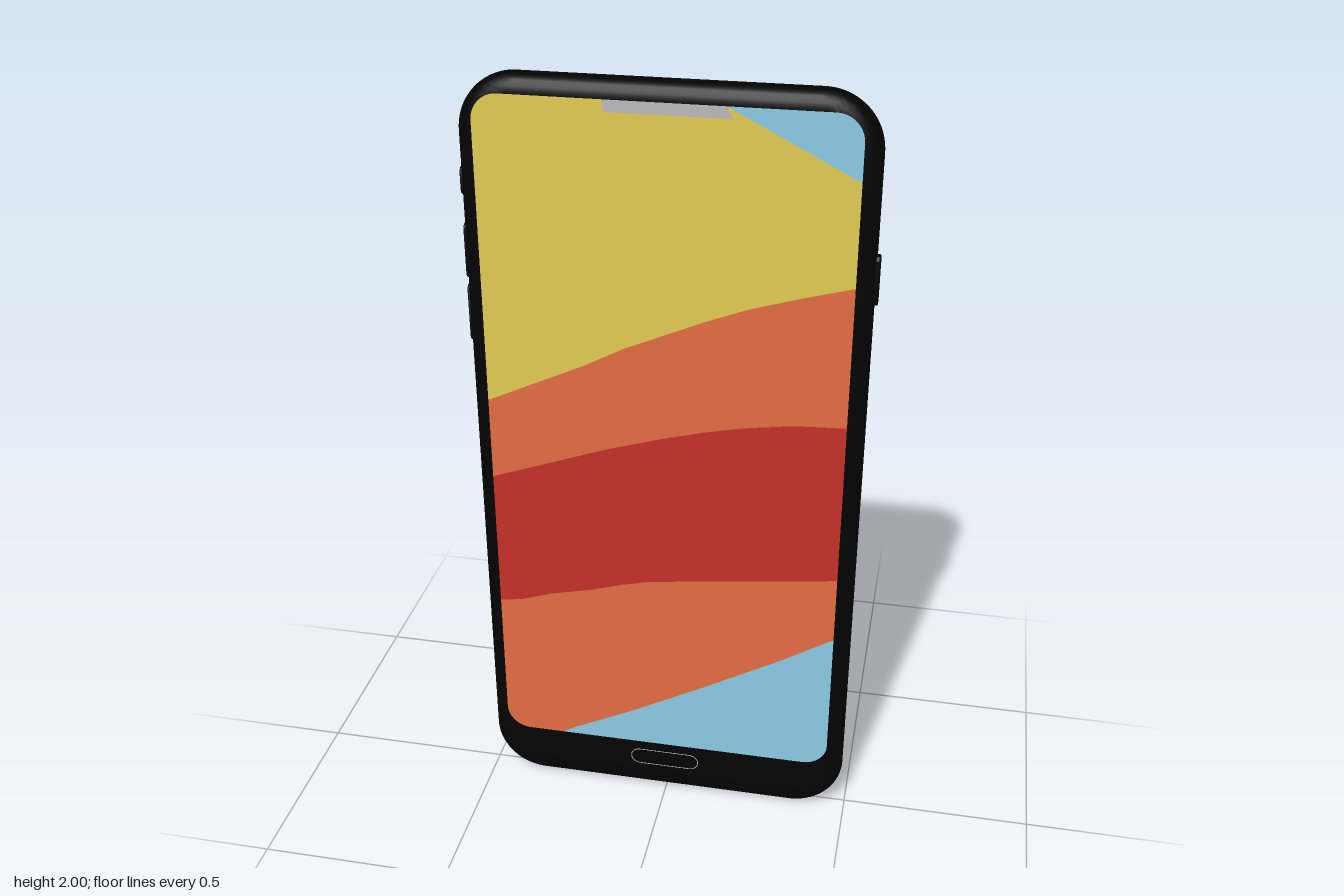
import * as THREE from 'three';
import { toCreasedNormals } from 'three/addons/utils/BufferGeometryUtils.js';

const material = (name, color) => new THREE.MeshStandardMaterial({ name, color });

// Rounded rectangle centred on the origin; r = h / 2 gives a pill
function roundedRect(w, h, r, Type = THREE.Shape) {
  const x = w / 2, y = h / 2, s = new Type();
  s.absarc(x - r, y - r, r, 0, Math.PI / 2);
  s.absarc(-x + r, y - r, r, Math.PI / 2, Math.PI);
  s.absarc(-x + r, -y + r, r, Math.PI, Math.PI * 1.5);
  s.absarc(x - r, -y + r, r, Math.PI * 1.5, Math.PI * 2);
  s.closePath();
  return s;
}

// Rounded slab of outer size w x h x d, with its edges rounded off
function slab(w, h, r, d, bevelSize, bevelThickness, segments) {
  const shape = roundedRect(w - 2 * bevelSize, h - 2 * bevelSize, r - bevelSize);
  const g = new THREE.ExtrudeGeometry(shape, {
    depth: d - 2 * bevelThickness, bevelSize, bevelThickness,
    bevelSegments: segments, curveSegments: 10,
  });
  g.center();
  return toCreasedNormals(g, 0.6);
}

// Thin pill outline
function pillRing(w, h, line) {
  const shape = roundedRect(w, h, h / 2);
  shape.holes.push(roundedRect(w - 2 * line, h - 2 * line, h / 2 - line, THREE.Path));
  return new THREE.ShapeGeometry(shape, 10);
}

// Height as a function of x, running straight between a few points
function heightLine(points) {
  return (x) => {
    let i = 0;
    while (i < points.length - 2 && x > points[i + 1][0]) i++;
    const [x0, y0] = points[i], [x1, y1] = points[i + 1];
    return y0 + (y1 - y0) * (x - x0) / (x1 - x0);
  };
}

// Screen limits with rounded corners
const LEFT = -0.45, RIGHT = 0.446, BOTTOM = 0.159, TOP = 1.958, CORNER = 0.065;
function cornerInset(x) {
  const d = Math.max(0, CORNER - Math.min(x - LEFT, RIGHT - x));
  return CORNER - Math.sqrt(Math.max(0, CORNER * CORNER - d * d));
}
const screenBottom = (x) => BOTTOM + cornerInset(x);
const screenTop = (x) => TOP - cornerInset(x);

// Flat band of the screen between two height lines
function screenBand(lower, upper) {
  const n = 96, pos = [], index = [];
  for (let i = 0; i <= n; i++) {
    const x = LEFT + (RIGHT - LEFT) * (1 - Math.cos(Math.PI * i / n)) / 2;
    const clamp = (y) => Math.min(screenTop(x), Math.max(screenBottom(x), y));
    pos.push(x, clamp(lower(x)), 0, x, clamp(upper(x)), 0);
    if (i < n) {
      const a = 2 * i;
      index.push(a, a + 2, a + 1, a + 1, a + 2, a + 3);
    }
  }
  const g = new THREE.BufferGeometry();
  g.setAttribute('position', new THREE.Float32BufferAttribute(pos, 3));
  g.setIndex(index);
  g.computeVertexNormals();
  return g;
}

export function createModel() {
  const black = material('case black', 0x030303);
  const grey = material('metal grey', 0xbdbabc);
  const yellow = material('screen yellow', 0xe4cc53);
  const orange = material('screen orange', 0xe56d45);
  const red = material('screen red', 0xc53229);
  const blue = material('screen blue', 0x8dcbe5);

  const model = new THREE.Group();
  model.name = 'phone';
  const add = (name, geometry, mat, x, y, z) => {
    const mesh = new THREE.Mesh(geometry, mat);
    mesh.name = name;
    mesh.position.set(x, y, z);
    model.add(mesh);
    return mesh;
  };

  // Case with fully rounded edges
  add('case', slab(0.98, 1.998, 0.14, 0.089, 0.04, 0.043, 8), black, -0.002, 1.001, 0.006);

  // Wallpaper bands, from the bottom of the screen to the top
  const limits = [
    screenBottom,
    heightLine([[-0.3, 0.153], [-0.26, 0.178], [-0.1, 0.258], [0.1, 0.368], [0.3, 0.483], [0.446, 0.574]]),
    heightLine([[-0.45, 0.582], [-0.39, 0.592], [-0.31, 0.62], [-0.2, 0.646], [-0.12, 0.672],
      [-0.04, 0.692], [0.1, 0.711], [0.25, 0.73], [0.446, 0.757]]),
    heightLine([[-0.45, 0.963], [-0.3, 1.018], [-0.15, 1.073], [0, 1.12], [0.1, 1.147], [0.2, 1.169],
      [0.32, 1.187], [0.446, 1.193]]),
    heightLine([[-0.45, 1.182], [-0.2, 1.3], [-0.1, 1.354], [0, 1.398], [0.1, 1.442], [0.2, 1.481],
      [0.32, 1.518], [0.446, 1.553]]),
    heightLine([[0.14, 1.958], [0.446, 1.803]]),
    screenTop,
  ];
  const bandColors = [blue, orange, red, orange, yellow, blue];
  bandColors.forEach((mat, i) => {
    add('screenBand' + (i + 1), screenBand(limits[i], limits[i + 1]), mat, 0, 0, 0.0515);
  });

  // Earpiece notch and home button outline
  const notch = new THREE.Shape([[-0.145, 0.028], [-0.138, 0], [0.155, 0], [0.14, 0.028]]
    .map(([x, y]) => new THREE.Vector2(x, y)));
  add('earpiece', new THREE.ShapeGeometry(notch), grey, 0, 1.93, 0.0525);
  add('homeButtonRing', pillRing(0.19, 0.05, 0.0025), grey, -0.002, 0.107, 0.0512);

  // Camera bump and its glass on the back
  add('cameraBump', slab(0.256, 0.128, 0.064, 0.04, 0.016, 0.012, 5), black, 0.297, 1.873, -0.035);
  const glass = new THREE.ShapeGeometry(roundedRect(0.212, 0.09, 0.045), 10);
  add('cameraGlass', glass, grey, 0.297, 1.871, -0.0562).rotation.y = Math.PI;

  // Side buttons: [name, x, centre height, length]
  const buttons = [
    ['powerButton', 0.482, 1.56, 0.125],
    ['muteSwitch', -0.483, 1.735, 0.07],
    ['upperVolumeButton', -0.483, 1.56, 0.14],
    ['lowerVolumeButton', -0.483, 1.4, 0.15],
  ];
  for (const [name, x, y, length] of buttons) {
    add(name, slab(0.03, length, 0.015, 0.028, 0.004, 0.004, 3), black, x, y, 0.005).rotation.y = Math.PI / 2;
  }

  // Charging port outline underneath
  add('chargingPort', pillRing(0.115, 0.026, 0.004), grey, -0.002, 0, 0.006).rotation.x = Math.PI / 2;

  return model;
}
